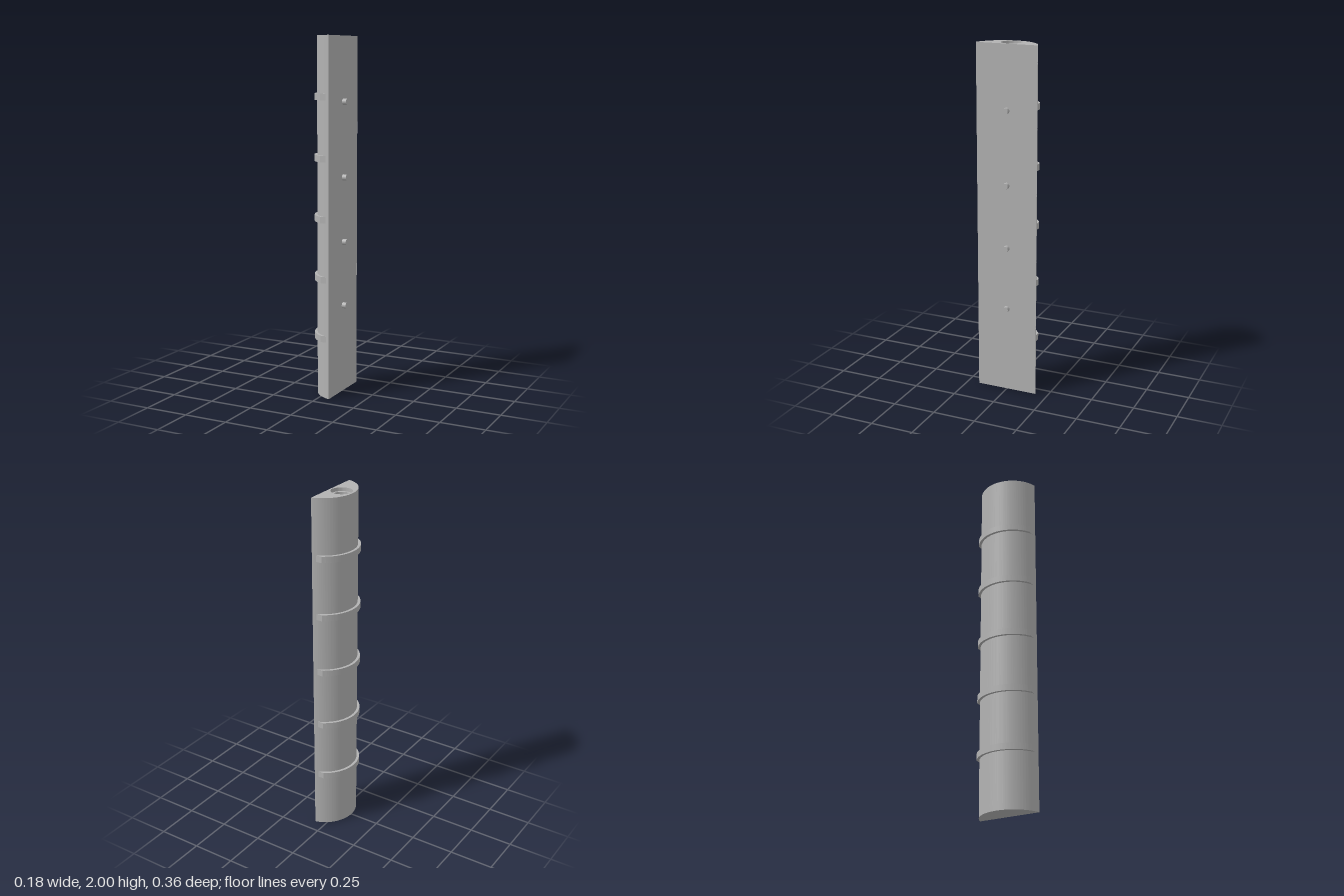
import * as THREE from 'three';
import { mergeGeometries, toCreasedNormals } from 'three/addons/utils/BufferGeometryUtils.js';

const HEIGHT = 2;
const CX = 0.111; // shared centre of the body and band arcs

// Flat-backed outline: an arc about CX of the given radius, closed at x = backX
function segmentShape(radius, halfWidth, backX) {
  const a = Math.PI - Math.asin(halfWidth / radius);
  const shape = new THREE.Shape();
  shape.moveTo(backX, halfWidth);
  shape.lineTo(CX + radius * Math.cos(a), halfWidth);
  shape.absarc(CX, 0, radius, a, 2 * Math.PI - a, false);
  shape.lineTo(backX, -halfWidth);
  shape.closePath();
  return shape;
}

function extrudeUp(shape, height) {
  const g = new THREE.ExtrudeGeometry(shape, { depth: height, bevelEnabled: false, curveSegments: 48 });
  return g.rotateX(-Math.PI / 2);
}

// Keep only the side walls of an extrusion
function wallsOnly(geometry) {
  const { start, count } = geometry.groups[1];
  const out = new THREE.BufferGeometry();
  for (const [name, size] of [['position', 3], ['normal', 3], ['uv', 2]]) {
    const part = geometry.getAttribute(name).array.slice(start * size, (start + count) * size);
    out.setAttribute(name, new THREE.BufferAttribute(part, size));
  }
  return out;
}

export function createModel() {
  const model = new THREE.Group();
  model.name = 'bandedHalfColumn';
  const grey = new THREE.MeshStandardMaterial({ color: 0xb2b2b2 });
  grey.name = 'plain grey';

  const add = (name, geometry) => {
    const mesh = new THREE.Mesh(geometry, grey);
    mesh.name = name;
    model.add(mesh);
    return mesh;
  };

  // Body: walls, closed bottom, top with a stepped blind socket
  const outline = segmentShape(0.185, 0.179, 0.064);
  const topOutline = segmentShape(0.185, 0.179, 0.064);
  const socketX = -0.005;
  const hole = new THREE.Path();
  hole.absarc(socketX, 0, 0.058, 0, Math.PI * 2, true);
  topOutline.holes.push(hole);

  const walls = wallsOnly(extrudeUp(outline, HEIGHT));
  const bottom = new THREE.ShapeGeometry(outline, 48).rotateX(Math.PI / 2).toNonIndexed();
  const top = new THREE.ShapeGeometry(topOutline, 48)
    .rotateX(-Math.PI / 2).translate(0, HEIGHT, 0).toNonIndexed();
  const socketProfile = [[0.058, 0], [0.058, -0.02], [0.046, -0.02], [0.046, -0.1], [0, -0.1]]
    .map(([r, y]) => new THREE.Vector2(r, HEIGHT + y));
  const socket = new THREE.LatheGeometry(socketProfile, 48);
  socket.translate(socketX, 0, 0);

  add('body', toCreasedNormals(mergeGeometries([walls, bottom, top]), 0.5));
  add('topSocket', toCreasedNormals(socket, 0.5));

  // Five raised bands around the curved side
  const bandHeight = 0.036;
  const bandGeometry = toCreasedNormals(extrudeUp(segmentShape(0.2, 0.172, 0.06), bandHeight), 0.5);
  for (let i = 1; i <= 5; i++) {
    add('band' + i, bandGeometry).position.y = i / 3 + 0.005 - bandHeight / 2;
  }

  // Four short pegs on the flat side
  const pegGeometry = new THREE.CylinderGeometry(0.017, 0.017, 0.034, 32).rotateZ(-Math.PI / 2);
  [0.499, 0.862, 1.225, 1.642].forEach((y, i) => {
    add('peg' + (i + 1), pegGeometry).position.set(0.071, y, 0);
  });

  return model;
}
